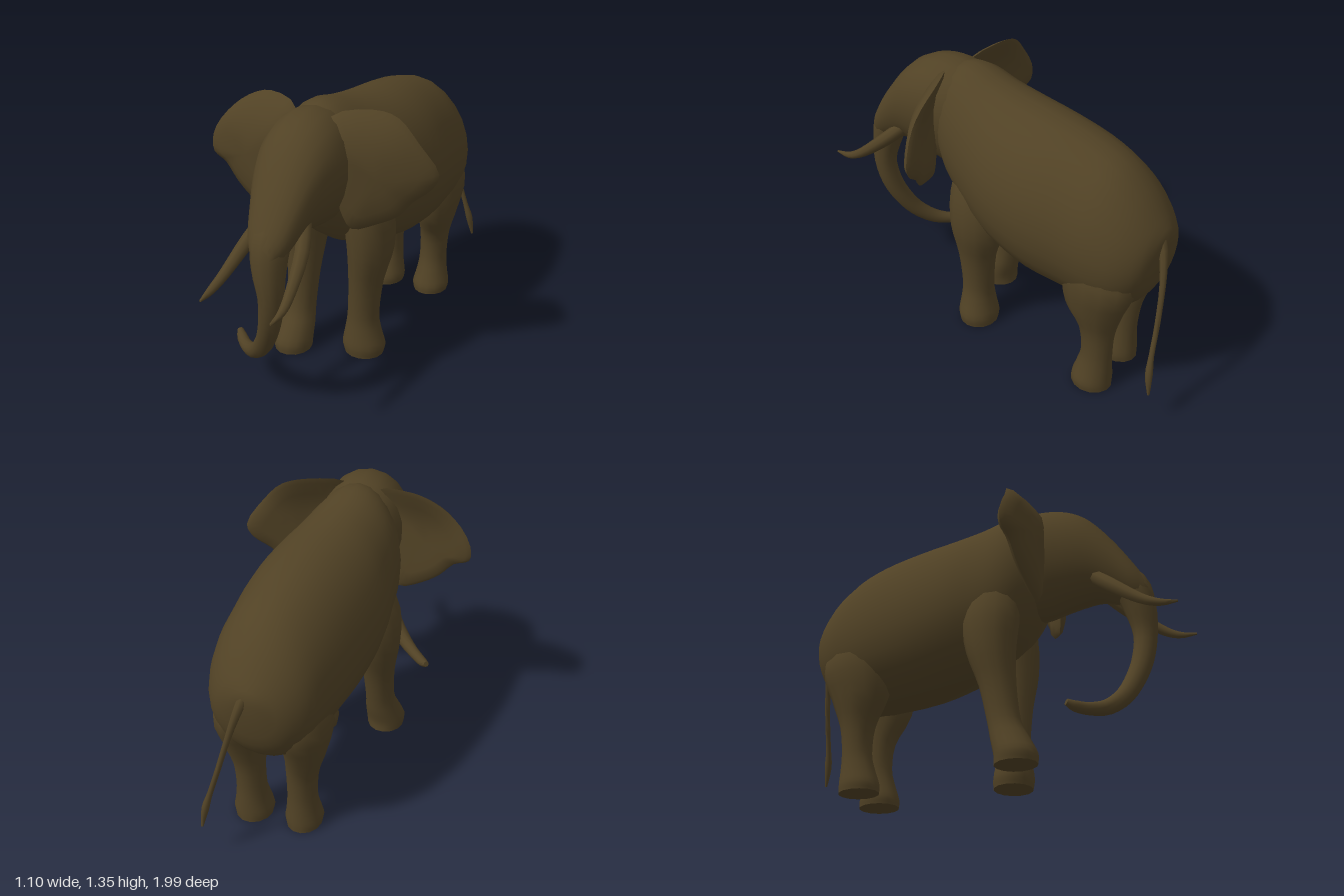
import * as THREE from 'three';
import { toCreasedNormals } from 'three/addons/utils/BufferGeometryUtils.js';

const hide = new THREE.MeshStandardMaterial({ color: 0x514225 });
hide.name = 'hide brown';

// Skin over a row of rings of points, closed by a fan at each end
function skin(rings) {
  const sides = rings[0].length, last = (rings.length - 1) * sides;
  const points = rings.flat(), idx = [];
  for (let a = 0; a < last; a += sides) {
    const b = a + sides;
    for (let j = 0; j < sides; j++) {
      const k = (j + 1) % sides;
      idx.push(a + j, a + k, b + j, a + k, b + k, b + j);
    }
  }
  const cap = points.length;
  for (const ring of [rings[0], rings[rings.length - 1]]) {
    points.push(ring.reduce((sum, p) => sum.add(p), new THREE.Vector3()).divideScalar(sides));
  }
  for (let j = 0; j < sides; j++) {
    const k = (j + 1) % sides;
    idx.push(cap, k, j, cap + 1, last + j, last + k);
  }
  const g = new THREE.BufferGeometry().setFromPoints(points);
  g.setIndex(idx);
  return toCreasedNormals(g, 0.9);
}

// Smooth tube through sections [x, y, z, radiusU, radiusV]; `axis` fixes the
// ring direction, otherwise rings follow the path. `taper` narrows the upper half.
function loft(sections, { axis = null, sides = 16, steps = 3, taper = 0 } = {}) {
  const curve = pts => new THREE.CatmullRomCurve3(pts, false, 'catmullrom', 0.5);
  const path = curve(sections.map(s => new THREE.Vector3(s[0], s[1], s[2])));
  const radii = curve(sections.map(s => new THREE.Vector3(s[3], s[4] ?? s[3], 0)));
  const n = (sections.length - 1) * steps;
  const rings = [];
  for (let i = 0; i <= n; i++) {
    const c = path.getPoint(i / n), r = radii.getPoint(i / n);
    const t = axis ?? path.getTangent(i / n);
    const u = new THREE.Vector3(1, 0, 0).addScaledVector(t, -t.x).normalize();
    const v = t.clone().cross(u);
    rings.push(Array.from({ length: sides }, (_, j) => {
      const a = (j / sides) * Math.PI * 2, s = Math.sin(a);
      return c.clone().addScaledVector(u, Math.cos(a) * r.x * (1 - taper * s)).addScaledVector(v, s * r.y);
    }));
  }
  return skin(rings);
}

// Cushioned ear from a front outline, swept back by a slope in x,
// with its top edge rolled backwards
function ear(outline, z0, slope) {
  const rim = new THREE.CatmullRomCurve3(outline.map(p => new THREE.Vector3(p[0], p[1], 0)), true).getPoints(36).slice(0, -1);
  const centre = rim.reduce((sum, p) => sum.add(p), new THREE.Vector3()).divideScalar(rim.length);
  const layers = [[0.3, -0.02], [0.65, -0.022], [0.9, -0.018], [1, 0], [0.93, 0.02], [0.7, 0.038], [0.35, 0.048]];
  return skin(layers.map(([scale, z]) => rim.map(p => {
    const q = centre.clone().lerp(p, scale);
    const roll = 2.2 * Math.max(0, q.y - 1.15) ** 2;
    return q.setZ(z0 + z + slope * q.x - roll);
  })));
}

export function createModel() {
  const group = new THREE.Group();
  const add = (name, geometry) => {
    const m = new THREE.Mesh(geometry, hide);
    m.name = name;
    group.add(m);
  };
  const forward = new THREE.Vector3(0, 0, 1), down = new THREE.Vector3(0, -1, 0);
  // z, top, bottom, centre x, half width
  const slice = ([z, top, bottom, x, w]) => [x, (top + bottom) / 2, z, w, (top - bottom) / 2];

  // Torso from rump to neck
  add('body', loft([
    [-0.9, 0.91, 0.8, 0.05, 0.06],
    [-0.865, 0.97, 0.62, 0.06, 0.16],
    [-0.78, 1.08, 0.5, 0.06, 0.235],
    [-0.66, 1.18, 0.45, 0.06, 0.272],
    [-0.5, 1.235, 0.45, 0.05, 0.295],
    [-0.3, 1.27, 0.465, 0.045, 0.315],
    [-0.1, 1.29, 0.51, 0.03, 0.308],
    [0.05, 1.315, 0.56, 0.015, 0.275],
    [0.18, 1.345, 0.64, 0, 0.245],
    [0.27, 1.34, 0.73, 0, 0.205],
    [0.35, 1.29, 0.85, 0, 0.14]
  ].map(slice), { axis: forward, sides: 24, taper: 0.06 }));

  // Domed head narrowing to the muzzle
  add('head', loft([
    [0.15, 1.3, 0.78, 0, 0.16],
    [0.3, 1.34, 0.77, 0, 0.2],
    [0.42, 1.335, 0.8, 0.01, 0.195],
    [0.52, 1.295, 0.82, 0.015, 0.178],
    [0.6, 1.225, 0.825, 0.02, 0.155],
    [0.69, 1.11, 0.8, 0.03, 0.125],
    [0.77, 0.985, 0.77, 0.035, 0.092],
    [0.825, 0.89, 0.77, 0.04, 0.045]
  ].map(slice), { axis: forward, sides: 20, taper: -0.14 }));

  // Trunk hanging down and curling to one side
  add('trunk', loft([
    [0.03, 1.0, 0.61, 0.075],
    [0.035, 0.89, 0.73, 0.088],
    [0.045, 0.77, 0.772, 0.076],
    [0.058, 0.64, 0.785, 0.058],
    [0.04, 0.51, 0.77, 0.052],
    [0, 0.4, 0.74, 0.047],
    [-0.06, 0.3, 0.7, 0.042],
    [-0.14, 0.225, 0.645, 0.036],
    [-0.22, 0.195, 0.585, 0.029],
    [-0.275, 0.195, 0.535, 0.025],
    [-0.305, 0.208, 0.505, 0.015]
  ], { sides: 12 }));

  // Tusks
  for (const [name, pts] of [
    ['rightTusk', [[-0.05, 0.95, 0.56, 0.035], [-0.11, 0.835, 0.68, 0.034], [-0.15, 0.72, 0.82, 0.025], [-0.165, 0.675, 0.91, 0.018], [-0.162, 0.668, 0.99, 0.005]]],
    ['leftTusk', [[0.1, 0.95, 0.56, 0.035], [0.155, 0.835, 0.68, 0.034], [0.18, 0.72, 0.82, 0.025], [0.19, 0.672, 0.91, 0.018], [0.19, 0.662, 0.998, 0.005]]]
  ]) add(name, loft(pts, { sides: 8 }));

  // Ears, rooted inside the head
  add('rightEar', ear([
    [-0.09, 1.31], [-0.25, 1.35], [-0.36, 1.315], [-0.46, 1.23], [-0.545, 1.1], [-0.545, 1.02],
    [-0.47, 0.98], [-0.4, 0.9], [-0.31, 0.83], [-0.185, 0.775], [-0.15, 0.9], [-0.1, 1.1]
  ], 0.37, 0.13));
  add('leftEar', ear([
    [0.09, 1.31], [0.25, 1.34], [0.36, 1.31], [0.46, 1.21], [0.545, 1.07], [0.52, 1.0],
    [0.44, 0.93], [0.39, 0.865], [0.3, 0.82], [0.2, 0.795], [0.15, 0.9], [0.1, 1.1]
  ].reverse(), 0.42, -0.48));

  // Legs, from the shoulder or hip down to a spread foot
  const legs = {
    frontLeftLeg: [
      [0.11, 1.0, 0.09, 0.08, 0.1], [0.155, 0.77, 0.075, 0.115, 0.145], [0.17, 0.58, 0.075, 0.108, 0.14],
      [0.155, 0.4, 0.09, 0.083, 0.098], [0.145, 0.22, 0.095, 0.077, 0.08], [0.145, 0.13, 0.095, 0.09, 0.086],
      [0.148, 0.05, 0.092, 0.108, 0.098], [0.148, 0, 0.09, 0.1, 0.094]],
    frontRightLeg: [
      [-0.1, 1.0, 0.1, 0.08, 0.1], [-0.155, 0.77, 0.1, 0.115, 0.14], [-0.17, 0.58, 0.105, 0.105, 0.12],
      [-0.165, 0.4, 0.135, 0.08, 0.088], [-0.165, 0.22, 0.165, 0.072, 0.078], [-0.17, 0.13, 0.195, 0.085, 0.09],
      [-0.18, 0.05, 0.225, 0.098, 0.1], [-0.18, 0, 0.225, 0.092, 0.1]],
    rearLeftLeg: [
      [0.13, 0.9, -0.6, 0.12, 0.16], [0.195, 0.66, -0.65, 0.125, 0.19], [0.2, 0.48, -0.635, 0.098, 0.15],
      [0.185, 0.34, -0.65, 0.075, 0.09], [0.18, 0.2, -0.65, 0.07, 0.077], [0.18, 0.11, -0.64, 0.08, 0.088],
      [0.18, 0.04, -0.63, 0.095, 0.1], [0.18, 0, -0.63, 0.09, 0.1]],
    rearRightLeg: [
      [-0.01, 0.9, -0.58, 0.12, 0.16], [-0.085, 0.66, -0.63, 0.125, 0.19], [-0.09, 0.48, -0.615, 0.1, 0.15],
      [-0.075, 0.34, -0.63, 0.077, 0.09], [-0.07, 0.2, -0.63, 0.07, 0.075], [-0.07, 0.11, -0.62, 0.078, 0.086],
      [-0.07, 0.04, -0.61, 0.09, 0.1], [-0.07, 0, -0.61, 0.085, 0.1]]
  };
  for (const [name, pts] of Object.entries(legs)) add(name, loft(pts, { axis: down, sides: 14 }));

  // Tail with a small tuft
  add('tail', loft([
    [0.06, 0.93, -0.84, 0.03], [0.09, 0.84, -0.9, 0.022], [0.13, 0.7, -0.935, 0.015], [0.18, 0.52, -0.955, 0.013],
    [0.225, 0.37, -0.965, 0.013], [0.25, 0.28, -0.975, 0.018], [0.265, 0.18, -0.99, 0.006]
  ], { sides: 8 }));

  return group;
}
